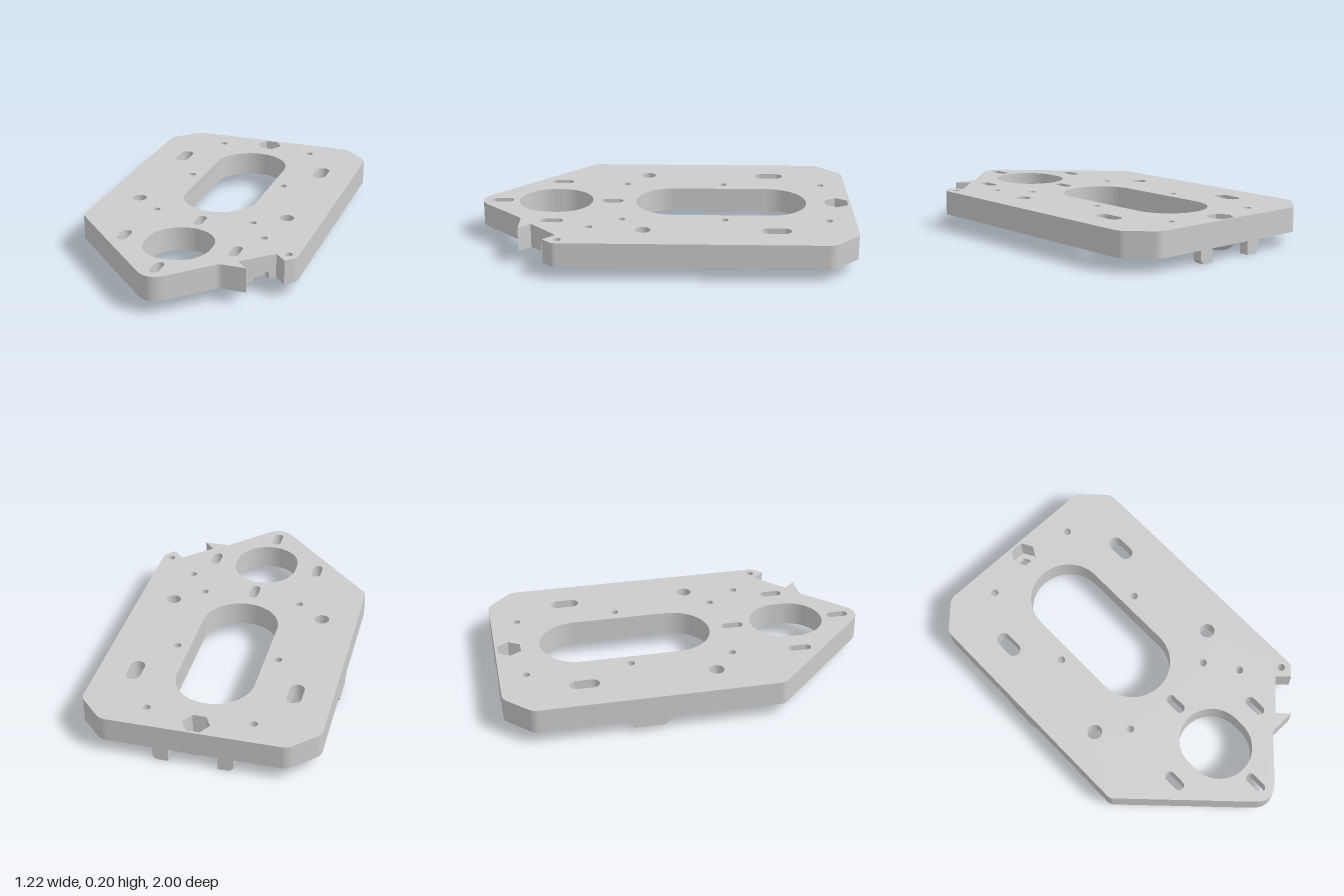
import * as THREE from 'three';

const mat = new THREE.MeshStandardMaterial({ color: 0xcccccc, flatShading: true });
const Y0 = 0.07, YMID = 0.11, Y1 = 0.2; // plate underside, step, top

// Polygon from [x, z, cornerSetback] points
function outline(pts) {
  const s = new THREE.Shape();
  const n = pts.length;
  pts.forEach(([x, z, r = 0], i) => {
    const toward = ([px, pz]) => {
      const d = Math.hypot(px - x, pz - z);
      return [x + (px - x) * r / d, z + (pz - z) * r / d];
    };
    const a = toward(pts[(i + n - 1) % n]), b = toward(pts[(i + 1) % n]);
    if (i === 0) s.moveTo(...a); else s.lineTo(...a);
    if (r) s.quadraticCurveTo(x, z, ...b);
  });
  s.closePath();
  return s;
}

// Rounded slot along z (a circle when w equals len)
function slot(x, z, w, len) {
  const p = new THREE.Path(), r = w / 2, h = (len - w) / 2;
  if (h <= 0) p.absarc(x, z, r, 0, Math.PI * 2);
  else {
    p.absarc(x, z + h, r, 0, Math.PI);
    p.absarc(x, z - h, r, Math.PI, Math.PI * 2);
    p.closePath();
  }
  return p;
}

function hexPath(x, z, r) {
  const pts = [];
  for (let i = 0; i < 6; i++) {
    const a = i * Math.PI / 3;
    pts.push(new THREE.Vector2(x + r * Math.cos(a), z + r * Math.sin(a)));
  }
  return new THREE.Path(pts);
}

// Plate layer; grow widens the screw holes, undercut adds the notch pocket
function layer(name, y0, y1, grow, undercut) {
  const pocket = undercut ? [[0.47, 0.58], [0.44, 0.55], [0.38, 0.61], [0.41, 0.64]] : [];
  const s = outline([
    [-0.47, -1, 0.03], [0.47, -1, 0.03], [0.61, -0.86, 0.03],
    [0.61, 0.565, 0.02], [0.56, 0.615], [0.5, 0.555], ...pocket, [0.35, 0.7],
    [0.41, 0.76], [0.27, 0.76, 0.02], [0, 1.04, 0.112],
    [-0.61, 0.43, 0.02], [-0.61, -0.86, 0.03],
  ]);
  s.holes.push(slot(0, -0.298, 0.408, 0.925)); // long opening
  s.holes.push(slot(0, 0.6, 0.35, 0.4));       // round opening
  s.holes.push(hexPath(0, -0.925, 0.07));      // nut recess
  const g = grow * 2;
  for (const m of [-1, 1]) {
    s.holes.push(slot(m * 0.42, -0.577, 0.075 + g, 0.155 + g));
    s.holes.push(slot(m * 0.42, 0.112, 0.08 + g, 0.08 + g));
    s.holes.push(slot(m * 0.3, 0.595, 0.052 + grow, 0.12 + grow));
    for (const z of [-0.86, -0.313, 0.23]) s.holes.push(slot(m * 0.272, z, 0.04, 0.04));
  }
  for (const z of [0.295, 0.895]) s.holes.push(slot(0, z, 0.05 + grow, 0.12 + grow));
  s.holes.push(slot(0.385, 0.395, 0.04, 0.04), slot(0.56, 0.54, 0.04, 0.04));
  const geo = new THREE.ExtrudeGeometry(s, { depth: y1 - y0, bevelEnabled: false, curveSegments: 16 });
  geo.rotateX(Math.PI / 2).translate(0, y1, 0);
  const mesh = new THREE.Mesh(geo, mat);
  mesh.name = name;
  return mesh;
}

// Prism with an (x, y) profile, extruded along z
function prism(name, pts, depth) {
  const s = new THREE.Shape(pts.map(p => new THREE.Vector2(...p)));
  const mesh = new THREE.Mesh(new THREE.ExtrudeGeometry(s, { depth, bevelEnabled: false }), mat);
  mesh.name = name;
  return mesh;
}

export function createModel() {
  const group = new THREE.Group();
  group.name = 'mountingPlate';
  group.add(layer('upperPlate', YMID, Y1, 0, false));
  group.add(layer('lowerPlate', Y0, YMID, 0.032, true));

  // Tapered seat under the nut recess
  const seatProfile = [[0.037, 0.072], [0.037, 0.04], [0.05, 0.04], [0.08, 0.072], [0.037, 0.072]]
    .map(p => new THREE.Vector2(...p));
  const seat = new THREE.Mesh(new THREE.LatheGeometry(seatProfile, 6, Math.PI / 6), mat);
  seat.name = 'nutSeat';
  seat.position.z = -0.925;
  group.add(seat);

  for (const m of [-1, 1]) {
    // Feet on the back edge, outer lower corner cut off
    const pts = [[0.125, Y0], [0.125, 0], [0.185, 0], [0.205, 0.02], [0.205, Y0]];
    const foot = prism('backFoot', pts.map(([x, y]) => [m * x, y]), 0.05);
    foot.position.z = -1;
    group.add(foot);
    // Hexagonal bosses on the underside
    for (const z of [0.307, -0.84]) {
      const boss = new THREE.Mesh(new THREE.CylinderGeometry(0.044, 0.044, 0.022, 6), mat);
      boss.name = 'hexBoss';
      boss.rotation.y = Math.PI / 6;
      boss.position.set(m * 0.168, 0.06, z);
      group.add(boss);
    }
  }

  // Wedge foot, sloped towards the front
  const wedge = prism('wedgeFoot', [[-0.48, Y0], [-0.415, 0], [-0.36, 0], [-0.36, Y0]], 0.08);
  wedge.rotation.y = Math.PI / 2;
  wedge.position.x = -0.435;
  group.add(wedge);

  // Tapered rib on the right edge, moved in at its lower face
  const rib = new THREE.BoxGeometry(0.1, 0.04, 0.24);
  const p = rib.attributes.position;
  for (let i = 0; i < p.count; i++) {
    if (p.getY(i) > 0) continue;
    p.setZ(i, Math.sign(p.getZ(i)) * 0.08);
    if (p.getX(i) > 0) p.setX(i, 0.01);
  }
  rib.computeVertexNormals();
  const ribMesh = new THREE.Mesh(rib, mat);
  ribMesh.name = 'edgeRib';
  ribMesh.position.set(-0.56, 0.05, -0.275);
  group.add(ribMesh);

  return group;
}
